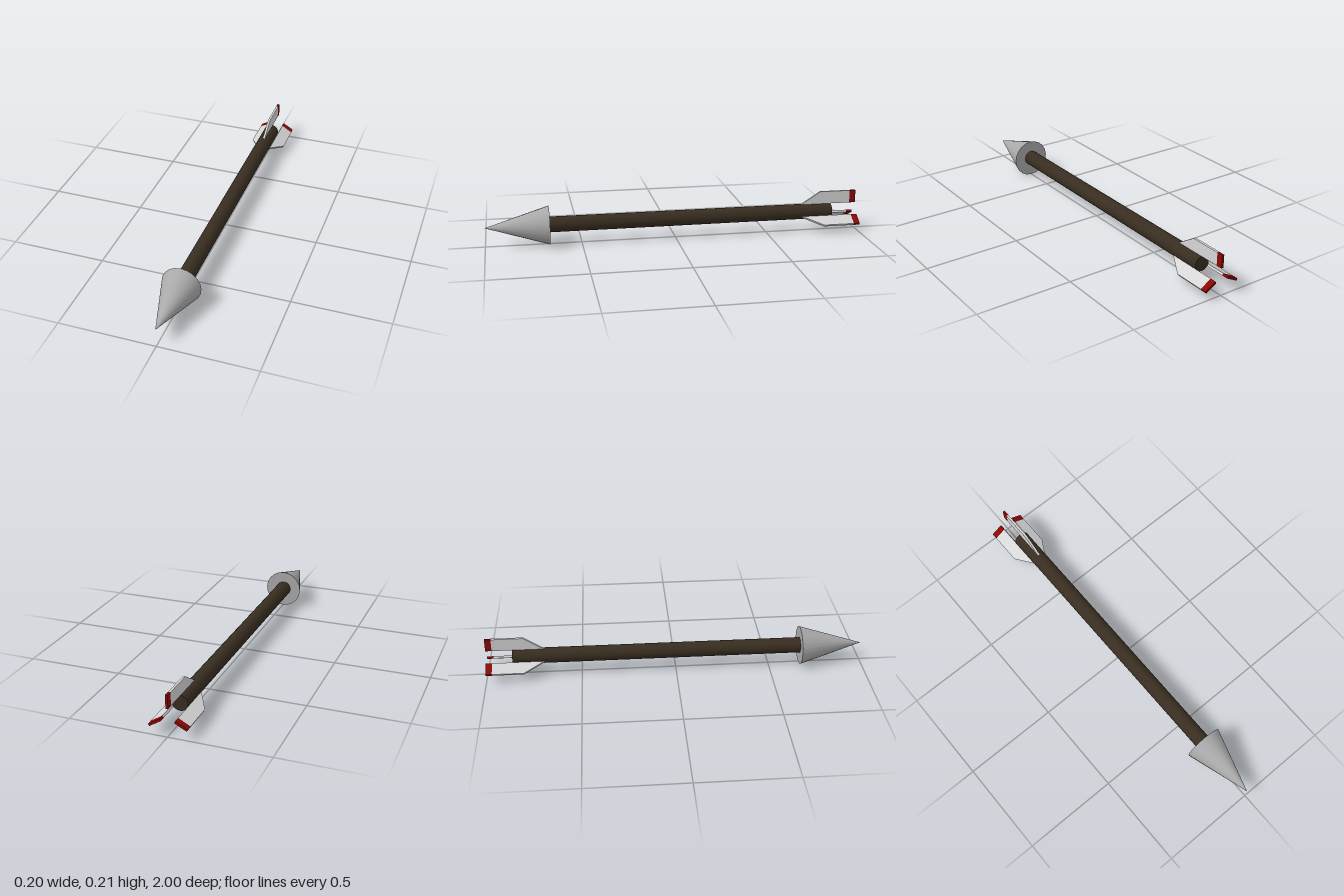
import * as THREE from 'three';

const material = (name, color) => {
  const m = new THREE.MeshStandardMaterial({ color });
  m.name = name;
  return m;
};

export function createModel() {
  const steel = material('steel grey', 0xa9a9a9);
  const wood = material('dark wood', 0x382d20);
  const white = material('fin white', 0xd6d6d6);
  const red = material('dark red', 0x8a0808);

  const group = new THREE.Group();
  group.name = 'arrow';
  const add = (parent, name, geometry, mat) => {
    const mesh = new THREE.Mesh(geometry, mat);
    mesh.name = name;
    parent.add(mesh);
    return mesh;
  };

  // Pointed head, tip towards +z
  const headLength = 0.333;
  const head = add(group, 'head',
    new THREE.ConeGeometry(0.102, headLength, 20).rotateX(Math.PI / 2), steel);
  head.position.set(0, 0.104, 1 - headLength / 2);

  // Shaft, seated slightly inside the head
  const front = 0.69, back = -0.86;
  const shaft = add(group, 'shaft',
    new THREE.CylinderGeometry(0.041, 0.041, front - back, 20).rotateX(Math.PI / 2), wood);
  shaft.position.set(-0.002, 0.106, (front + back) / 2);

  // Fin outlines: [distance behind the centre, radius from the axis]
  const thickness = 0.012;
  const plate = (points) => new THREE.ExtrudeGeometry(
    new THREE.Shape(points.map(([a, r]) => new THREE.Vector2(a, r))),
    { depth: thickness, bevelEnabled: false },
  ).translate(0, 0, -thickness / 2).rotateY(Math.PI / 2);

  const inner = 0.041, outer = 0.109;
  const vane = plate([[0.695, inner], [0.967, inner], [0.967, outer], [0.8, outer]]);
  const tip = plate([[0.967, inner], [1, inner], [1, outer], [0.967, outer]]);

  // Three fins around the tail
  [['topFin', 90], ['rightFin', 208], ['leftFin', 328]].forEach(([name, angle]) => {
    const fin = new THREE.Group();
    fin.name = name;
    add(fin, 'vane', vane, white);
    add(fin, 'vaneTip', tip, red);
    fin.position.set(-0.001, 0.105, 0);
    fin.rotation.z = THREE.MathUtils.degToRad(angle - 90);
    group.add(fin);
  });

  return group;
}
